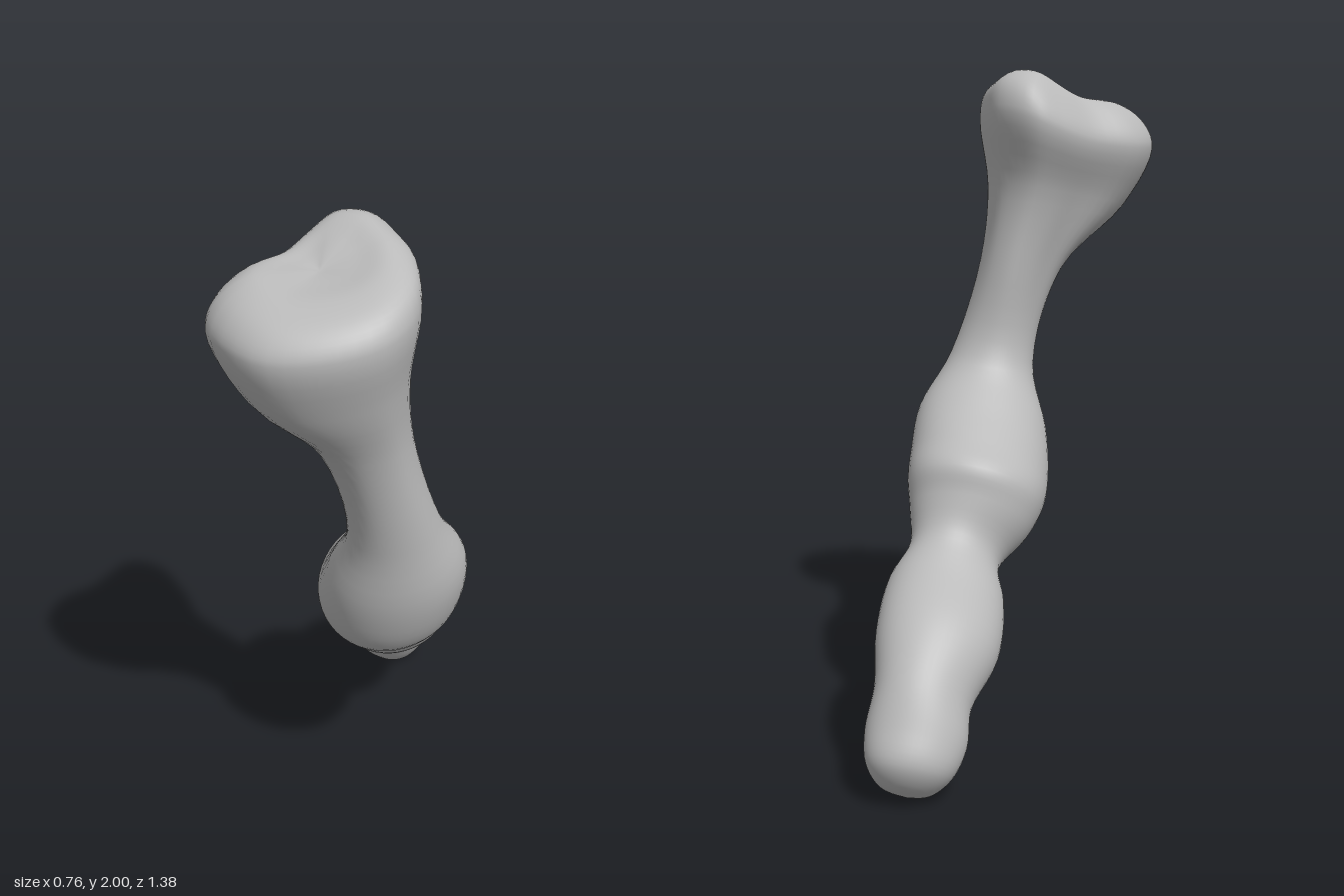
import * as THREE from 'three';
import { mergeVertices } from 'three/addons/utils/BufferGeometryUtils.js';

const SIDES = 48, STEPS = 5, SLOPE = 0.13;

// Three-lobed outline of the flared head, scaled to -1..1, from the front towards +x
const lobes = new THREE.CatmullRomCurve3(
  [[0, 1], [0.59, 0.89], [0.93, 0.5], [1, -0.05], [0.89, -0.42], [0.7, -0.78],
    [0.3, -1], [-0.05, -0.85], [-0.4, -0.57], [-0.85, -0.3], [-1, 0.15], [-0.6, 0.82]]
    .map(([u, v]) => new THREE.Vector3(u, 0, v)), true);

// Cross-sections from the foot to the dished head, closed to a point at both ends:
// front z, front y, back z, back y, x min, x max
const sections = [
  [-0.61, 0.02, -0.61, 0.02, 0.25, 0.25],
  [-0.55, 0, -0.665, 0.075, 0.185, 0.325],
  [-0.505, 0.035, -0.69, 0.15, 0.125, 0.365],
  [-0.455, 0.095, -0.65, 0.24, 0.09, 0.375],
  [-0.39, 0.165, -0.58, 0.36, 0.085, 0.36],
  [-0.25, 0.25, -0.45, 0.49, 0.025, 0.378],
  [-0.1, 0.35, -0.27, 0.59, 0.025, 0.37],
  [0, 0.46, -0.18, 0.665, 0.05, 0.32],
  [0.1, 0.535, -0.142, 0.77, -0.03, 0.33],
  [0.21, 0.595, -0.122, 0.85, -0.07, 0.345],
  [0.33, 0.67, -0.03, 0.91, -0.077, 0.352],
  [0.415, 0.84, 0.1, 1, -0.06, 0.34],
  [0.46, 1.08, 0.22, 1.12, -0.012, 0.25],
  [0.54, 1.4, 0.24, 1.39, -0.1, 0.16],
  [0.63, 1.58, 0.225, 1.64, -0.29, 0.14],
  [0.69, 1.76, 0.145, 1.86, -0.38, 0.163],
  [0.655, 1.825, 0.18, 1.955, -0.35, 0.145],
  [0.57, 1.87, 0.26, 1.995, -0.27, 0.08],
  [0.49, 1.885, 0.34, 1.95, -0.18, 0],
  [0.42, 1.895, 0.42, 1.895, -0.09, -0.09],
];

// Point j around one section: an ellipse that turns into the lobed outline higher up,
// with a saddle in the rear right of the rim
function sectionPoint([fz, fy, bz, by, x0, x1], j) {
  const angle = (j / SIDES) * Math.PI * 2;
  const outline = lobes.getPoint(j / SIDES);
  const lobe = THREE.MathUtils.smoothstep(fy, 1.1, 1.65);
  const u = THREE.MathUtils.lerp(Math.sin(angle), outline.x, lobe);
  const v = THREE.MathUtils.lerp(Math.cos(angle), outline.z, lobe);
  const dx = u * (x1 - x0) / 2;
  const saddle = 0.13 * THREE.MathUtils.smoothstep(fy, 1.6, 1.85)
    * Math.max(0, Math.cos(angle - 4.1)) ** 2 * (x1 - x0);
  return new THREE.Vector3(
    (x0 + x1) / 2 + dx,
    (fy + by) / 2 + v * (fy - by) / 2 + dx * SLOPE - saddle,
    (fz + bz) / 2 + v * (fz - bz) / 2);
}

// Smooth columns through all sections, joined side by side into one skin
function loftGeometry() {
  const rows = (sections.length - 1) * STEPS;
  const positions = [], index = [];
  for (let j = 0; j < SIDES; j++) {
    const column = new THREE.CatmullRomCurve3(sections.map((s) => sectionPoint(s, j)));
    for (let i = 0; i <= rows; i++) positions.push(...column.getPoint(i / rows).toArray());
  }
  const at = (i, j) => (j % SIDES) * (rows + 1) + i;
  for (let j = 0; j < SIDES; j++) {
    for (let i = 0; i < rows; i++) {
      if (i > 0) index.push(at(i, j), at(i, j + 1), at(i + 1, j));
      if (i < rows - 1) index.push(at(i, j + 1), at(i + 1, j + 1), at(i + 1, j));
    }
  }
  const geometry = new THREE.BufferGeometry();
  geometry.setAttribute('position', new THREE.Float32BufferAttribute(positions, 3));
  geometry.setIndex(index);
  const skin = mergeVertices(geometry, 1e-5);
  skin.computeVertexNormals();
  return skin;
}

export function createModel() {
  const group = new THREE.Group();
  group.name = 'bentLimb';
  const grey = new THREE.MeshStandardMaterial({ color: 0xbababa });
  grey.name = 'plain grey';
  const limb = new THREE.Mesh(loftGeometry(), grey);
  limb.name = 'limb';
  group.add(limb);
  return group;
}
